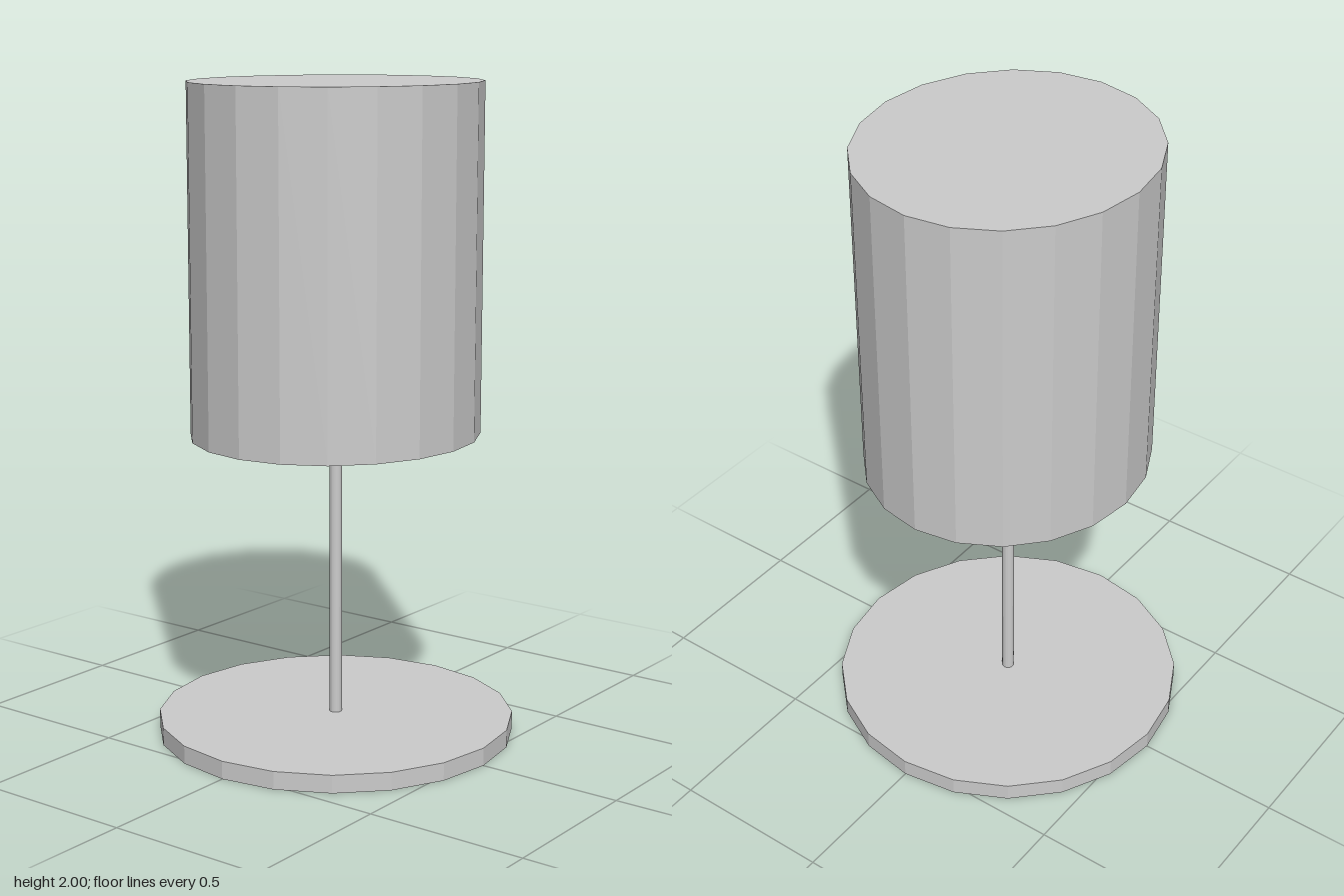
import * as THREE from 'three';

const SIDES = 20;
const material = new THREE.MeshStandardMaterial({ color: 0xcccccc, flatShading: true });

// Faceted solid turned from [radius, y] points, listed from the bottom axis outwards and up
function turned(name, profile) {
  const points = profile.map(([r, y]) => new THREE.Vector2(r, y));
  const mesh = new THREE.Mesh(new THREE.LatheGeometry(points, SIDES), material);
  mesh.name = name;
  return mesh;
}

export function createModel() {
  const model = new THREE.Group();
  model.name = 'tableLamp';

  // Round foot
  model.add(turned('base', [[0, 0], [0.55, 0], [0.55, 0.055], [0, 0.055]]));

  // Thin pole running up into the shade
  model.add(turned('pole', [[0, 0.03], [0.019, 0.03], [0.019, 1.9], [0, 1.9]]));

  // Shade: slightly oval drum with a tapering opening underneath
  const shade = turned('shade', [
    [0, 1.9], [0.06, 1.9], [0.14, 0.94], [0.46, 0.94], [0.46, 2], [0, 2],
  ]);
  shade.geometry.scale(1, 1, 0.43 / 0.46);
  model.add(shade);

  return model;
}
